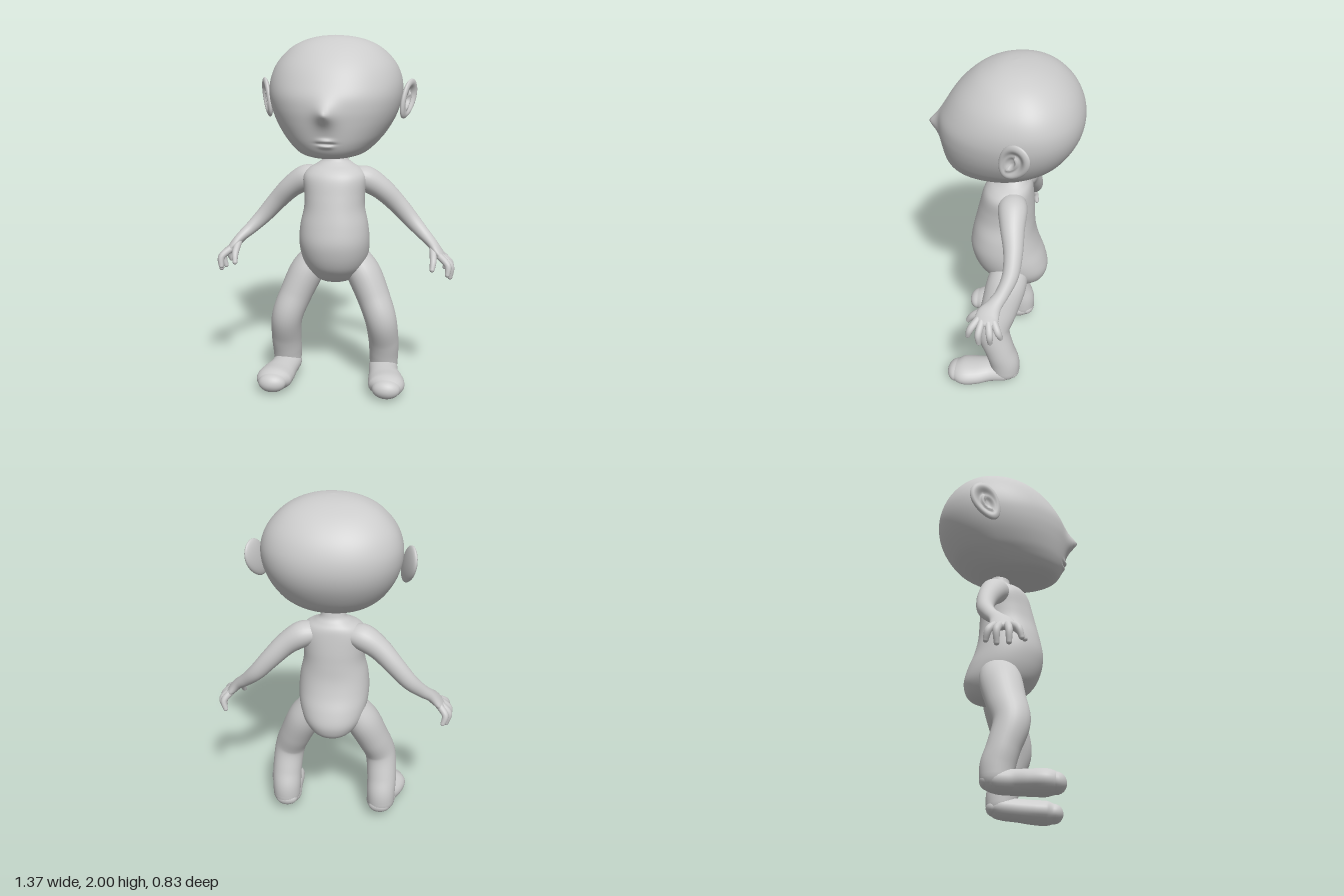
import * as THREE from 'three';
import { mergeVertices } from 'three/addons/utils/BufferGeometryUtils.js';

const material = new THREE.MeshStandardMaterial({ color: 0xcccccc, roughness: 0.8 });

// Catmull-Rom sample of a table of rows, t from 0 to 1
function sample(rows, t) {
  const u = t * (rows.length - 1);
  const i = Math.min(Math.floor(u), rows.length - 2);
  const f = u - i;
  const at = k => rows[Math.max(0, Math.min(rows.length - 1, k))];
  const [p, q, r, s] = [at(i - 1), at(i), at(i + 1), at(i + 2)];
  return q.map((b, k) => {
    const m0 = (r[k] - p[k]) / 2, m1 = (s[k] - b) / 2, d = r[k] - b;
    return b + m0 * f + (3 * d - 2 * m0 - m1) * f * f + (m0 + m1 - 2 * d) * f * f * f;
  });
}

// Skin a list of closed rings of Vector3
function loft(rings) {
  const n = rings[0].length, index = [];
  for (let i = 0; i < rings.length - 1; i++) {
    for (let j = 0; j < n; j++) {
      const a = i * n + j, b = i * n + (j + 1) % n;
      index.push(a, b, a + n, b, b + n, a + n);
    }
  }
  const geo = new THREE.BufferGeometry().setFromPoints(rings.flat());
  geo.setIndex(index);
  const merged = mergeVertices(geo, 1e-5);
  merged.computeVertexNormals();
  return merged;
}

// Upright body from rows of [y, half width, back z, front z]
function uprightLoft(rows, steps, sides, mid, power, shape = p => p) {
  const bend = v => Math.sign(v) * Math.abs(v) ** (2 / power);
  return loft(Array.from({ length: steps + 1 }, (_, i) => {
    const [y, w, zb, zf] = sample(rows, i / steps);
    const zc = zb + (zf - zb) * mid;
    return Array.from({ length: sides }, (_, j) => {
      const a = j / sides * Math.PI * 2;
      const c = bend(Math.cos(a));
      return shape(new THREE.Vector3(w * bend(Math.sin(a)), y, zc + c * (c > 0 ? zf - zc : zc - zb)));
    });
  }));
}

// Round-ended limb from rows of [x, y, z, radius across, radius along ref]
function limb(rows, ref = new THREE.Vector3(0, 0, 1), steps = 40, sides = 28) {
  const rings = [];
  const centre = t => new THREE.Vector3(...sample(rows, t).slice(0, 3));
  const addRing = (t, phi) => {
    const [, , , a, b] = sample(rows, t);
    const T = centre(Math.min(1, t + 0.01)).sub(centre(Math.max(0, t - 0.01))).normalize();
    const V = ref.clone().addScaledVector(T, -ref.dot(T)).normalize();
    const U = new THREE.Vector3().crossVectors(T, V);
    const c = centre(t).addScaledVector(T, Math.sin(phi) * Math.min(a, b));
    const k = Math.cos(phi);
    rings.push(Array.from({ length: sides }, (_, j) => {
      const g = j / sides * Math.PI * 2;
      return c.clone().addScaledVector(U, a * k * Math.sin(g)).addScaledVector(V, b * k * Math.cos(g));
    }));
  };
  for (let i = 8; i > 0; i--) addRing(0, -i / 8 * Math.PI / 2);
  for (let i = 0; i <= steps; i++) addRing(i / steps, 0);
  for (let i = 1; i <= 8; i++) addRing(1, i / 8 * Math.PI / 2);
  return loft(rings);
}

function mirrored(geo) {
  const m = geo.clone().scale(-1, 1, 1), ix = m.index.array;
  for (let i = 0; i < ix.length; i += 3) [ix[i], ix[i + 1]] = [ix[i + 1], ix[i]];
  m.computeVertexNormals();
  return m;
}

// Flattened oval ear with a hollow and an inner ridge
function earGeometry() {
  let geo = new THREE.SphereGeometry(1, 40, 40);
  geo.deleteAttribute('uv');
  geo.deleteAttribute('normal');
  geo = mergeVertices(geo.rotateZ(-Math.PI / 2), 1e-4);
  const p = geo.attributes.position;
  for (let i = 0; i < p.count; i++) {
    const x = p.getX(i), y = p.getY(i), z = p.getZ(i);
    let depth = x * 0.026;
    if (x > 0) {
      const r = Math.hypot(y, z);
      depth -= 0.038 * Math.exp(-((r / 0.62) ** 4));
      depth += 0.02 * Math.exp(-(((Math.hypot(y + 0.1, z - 0.1) - 0.35) / 0.13) ** 2)) * (z < 0.1 ? 1 : 0.4);
    }
    p.setXYZ(i, depth, y * 0.118, z * (0.078 + 0.014 * y));
  }
  geo.rotateX(-0.55).rotateZ(-0.08).rotateY(-0.38).translate(0.4, 1.652, -0.105);
  geo.computeVertexNormals();
  return geo;
}

export function createModel() {
  const group = new THREE.Group();
  const add = (name, geo) => {
    const mesh = new THREE.Mesh(geo, material);
    mesh.name = name;
    group.add(mesh);
  };
  const addPair = (name, geo) => {
    add(name + 'Left', geo);
    add(name + 'Right', mirrored(geo));
  };

  // Head, with nose and lips pushed out of the face
  const face = p => {
    if (p.z > 0.1) {
      const bump = (y, sx, sy, e) => Math.exp(-(((p.x / sx) ** 2 + ((p.y - y) / sy) ** 2) ** (e / 2)));
      p.z += 0.066 * bump(1.607, 0.05, 0.055, 1.5) + 0.014 * bump(1.468, 0.038, 0.011, 2)
        + 0.012 * bump(1.437, 0.032, 0.011, 2) - 0.012 * bump(1.452, 0.04, 0.006, 2);
    }
    return p;
  };
  add('head', uprightLoft([
    [1.35, 0, 0.08, 0.08], [1.353, 0.06, 0, 0.17], [1.36, 0.12, -0.07, 0.24], [1.375, 0.175, -0.135, 0.283],
    [1.4, 0.213, -0.2, 0.308], [1.435, 0.25, -0.26, 0.325], [1.48, 0.288, -0.315, 0.336],
    [1.55, 0.33, -0.365, 0.346], [1.62, 0.357, -0.398, 0.351], [1.69, 0.37, -0.411, 0.342],
    [1.76, 0.366, -0.403, 0.308], [1.83, 0.341, -0.374, 0.262], [1.89, 0.297, -0.328, 0.207],
    [1.94, 0.238, -0.266, 0.145], [1.975, 0.163, -0.19, 0.075], [1.993, 0.085, -0.12, 0.015],
    [2, 0, -0.05, -0.05],
  ], 130, 160, 0.42, 2.12, face));
  addPair('ear', earGeometry());

  // Torso from seat to neck
  add('torso', uprightLoft([
    [0.6, 0, -0.1, -0.1], [0.605, 0.07, -0.17, 0], [0.63, 0.115, -0.215, 0.075], [0.67, 0.15, -0.236, 0.12],
    [0.72, 0.177, -0.241, 0.16], [0.79, 0.195, -0.222, 0.188], [0.87, 0.2, -0.19, 0.2],
    [0.96, 0.191, -0.167, 0.187], [1.05, 0.172, -0.16, 0.166], [1.13, 0.172, -0.156, 0.147],
    [1.22, 0.178, -0.147, 0.123], [1.265, 0.15, -0.138, 0.09], [1.295, 0.1, -0.12, 0.045],
    [1.33, 0.067, -0.1, 0.015], [1.42, 0.06, -0.09, 0.01],
  ], 70, 64, 0.48, 2.15));

  // Arms running down into flat palms
  addPair('arm', limb([
    [0.1, 1.215, -0.05, 0.055, 0.07], [0.17, 1.203, -0.065, 0.073, 0.08], [0.26, 1.145, -0.08, 0.064, 0.067],
    [0.35, 1.055, -0.1, 0.055, 0.053], [0.43, 0.965, -0.1, 0.047, 0.045], [0.5, 0.895, -0.07, 0.037, 0.038],
    [0.55, 0.85, -0.035, 0.03, 0.043], [0.585, 0.81, -0.01, 0.027, 0.062], [0.615, 0.775, 0, 0.021, 0.062],
  ]));

  // Fingers as [base, knuckle, tip]
  const fingers = {
    thumb: [[0.56, 0.825, 0.01], [0.565, 0.775, 0.075], [0.56, 0.73, 0.105]],
    indexFinger: [[0.6, 0.79, 0.04], [0.645, 0.75, 0.075], [0.645, 0.7, 0.09]],
    middleFinger: [[0.61, 0.785, 0.02], [0.662, 0.735, 0.03], [0.66, 0.67, 0.03]],
    ringFinger: [[0.61, 0.785, -0.015], [0.66, 0.735, -0.03], [0.65, 0.67, -0.03]],
    littleFinger: [[0.6, 0.79, -0.04], [0.64, 0.745, -0.07], [0.63, 0.695, -0.084]],
  };
  for (const [name, pts] of Object.entries(fingers)) {
    const radii = [0.02, 0.019, 0.014];
    addPair(name, limb(pts.map((p, i) => [...p, radii[i], radii[i]]), undefined, 12, 16));
  }

  // Legs, knees slightly bent
  addPair('leg', limb([
    [0.1, 0.76, -0.05, 0.08, 0.1], [0.165, 0.66, -0.03, 0.098, 0.115], [0.225, 0.53, 0, 0.094, 0.108],
    [0.273, 0.4, 0.03, 0.09, 0.098], [0.288, 0.26, -0.01, 0.087, 0.088], [0.288, 0.17, -0.038, 0.085, 0.09],
    [0.288, 0.11, -0.045, 0.082, 0.086],
  ]));

  // Feet, toes turned out a little
  addPair('foot', limb([
    [0.283, 0.09, -0.085, 0.065, 0.045], [0.285, 0.088, -0.04, 0.083, 0.062], [0.295, 0.08, 0.05, 0.085, 0.064],
    [0.312, 0.073, 0.13, 0.1, 0.066], [0.324, 0.07, 0.2, 0.102, 0.067], [0.325, 0.066, 0.245, 0.08, 0.055],
  ], new THREE.Vector3(0, 1, 0)));

  return group;
}
